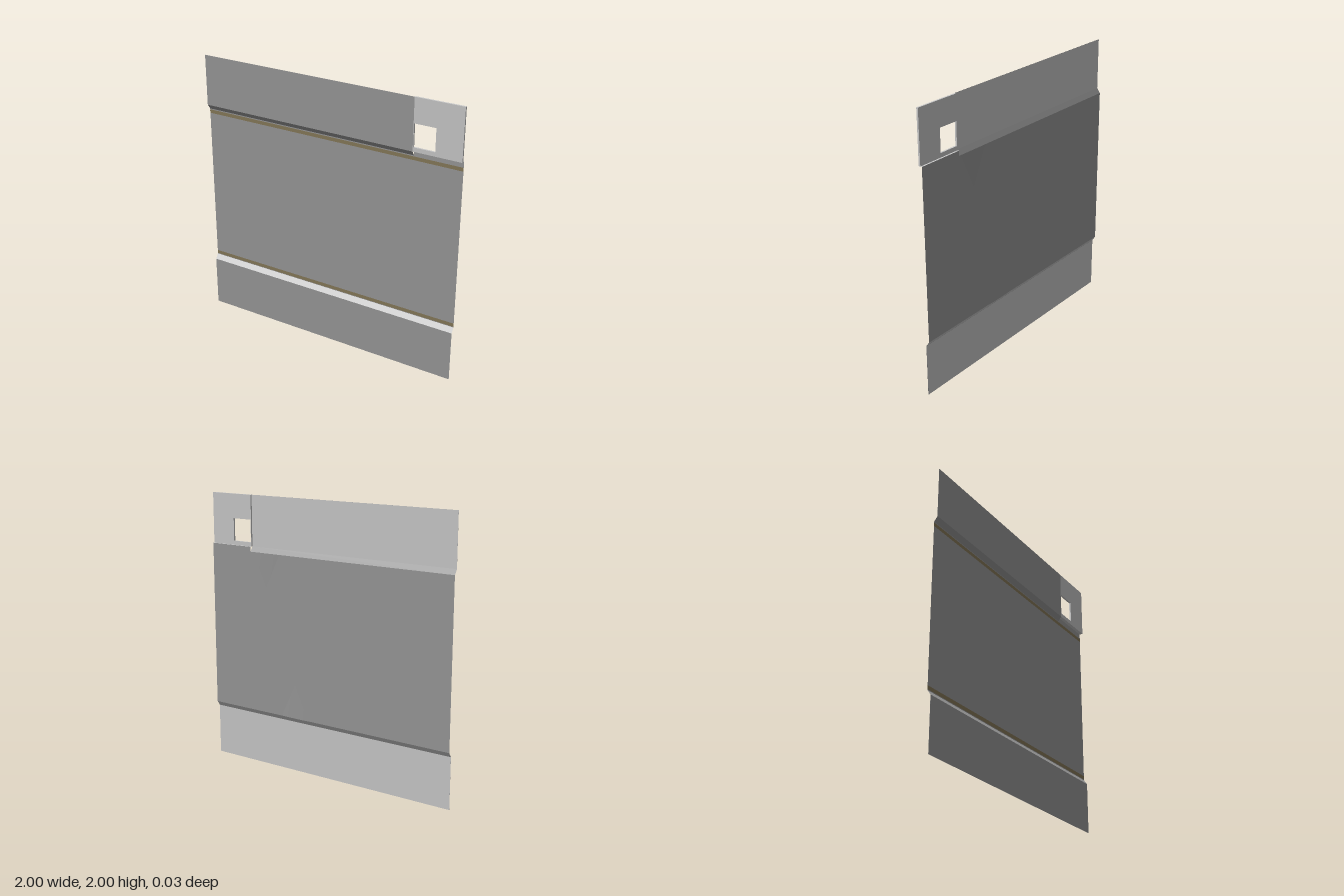
import * as THREE from 'three';

const material = (color) => new THREE.MeshStandardMaterial({ color, side: THREE.DoubleSide });

export function createModel() {
  const group = new THREE.Group();
  const grey = material(0xcccccc);
  const dark = material(0x9a9a9a);
  const brown = material(0x887b5a);
  const front = 0.013, back = -0.012, edge = 0.65;

  const add = (name, geometry, mat) => {
    const mesh = new THREE.Mesh(geometry, mat);
    mesh.name = name;
    group.add(mesh);
    return mesh;
  };

  // Flat strip running along x between two (y, z) edges, facing forwards
  const strip = (name, mat, [y0, z0], [y1, z1], x0 = -1, x1 = 1) => {
    const g = new THREE.BufferGeometry();
    g.setAttribute('position', new THREE.Float32BufferAttribute(
      [x0, y0, z0, x1, y0, z0, x1, y1, z1, x0, y1, z1], 3));
    g.setIndex([0, 1, 2, 0, 2, 3]);
    g.computeVertexNormals();
    return add(name, g, mat);
  };

  // Lower and upper panels: dark face with a paler backing
  strip('lowerPanel', dark, [0, front], [0.375, front]);
  strip('lowerPanelBacking', grey, [0, front - 0.001], [0.375, front - 0.001]);
  strip('upperPanel', dark, [1.63, front], [2, front], -1, edge);
  strip('upperPanelBacking', grey, [1.63, front - 0.001], [2, front - 0.001], -1, edge);

  // Recessed middle panel and the sloping steps that lead to it
  strip('lowerStep', grey, [0.375, front], [0.41, back]);
  strip('middlePanel', dark, [0.41, back], [1.595, back]);
  strip('upperStep', dark, [1.595, back], [1.63, front], -1, edge);
  strip('cornerRiser', dark, [1.595, back], [1.63, back], edge, 1);
  strip('cornerShelf', grey, [1.63, back], [1.63, front], edge, 1);

  // Trim stripes
  for (const [name, y] of [['lowerStripe', 0.428], ['upperStripe', 1.575]]) {
    strip(name, brown, [y - 0.013, back + 0.001], [y + 0.013, back + 0.001]);
  }

  // Corner plate with a square window
  const plate = new THREE.Shape([
    [edge, 1.63], [1, 1.63], [1, 2], [edge, 2],
  ].map(([x, y]) => new THREE.Vector2(x, y)));
  plate.holes.push(new THREE.Path([
    [edge + 0.004, 1.66], [edge + 0.004, 1.823], [0.81, 1.823], [0.81, 1.66],
  ].map(([x, y]) => new THREE.Vector2(x, y))));
  const plateGeometry = new THREE.ExtrudeGeometry(plate, { depth: 0.013, bevelEnabled: false });
  add('cornerPlate', plateGeometry, grey);

  // Shallow dents showing behind the edges of the middle panel
  for (const [name, x, y, dir] of [['upperDent', 0.51, 1.595, -1], ['lowerDent', 0.26, 0.41, 1]]) {
    const g = new THREE.BufferGeometry();
    g.setAttribute('position', new THREE.Float32BufferAttribute([
      x - 0.12, y, back, x - 0.06, y, back - 0.003, x + 0.06, y, back - 0.003,
      x + 0.12, y, back, x, y + dir * 0.25, back - 0.0002], 3));
    g.setIndex(dir > 0 ? [0, 4, 1, 1, 4, 2, 2, 4, 3] : [0, 1, 4, 1, 2, 4, 2, 3, 4]);
    g.computeVertexNormals();
    add(name, g, dark);
  }
  return group;
}
